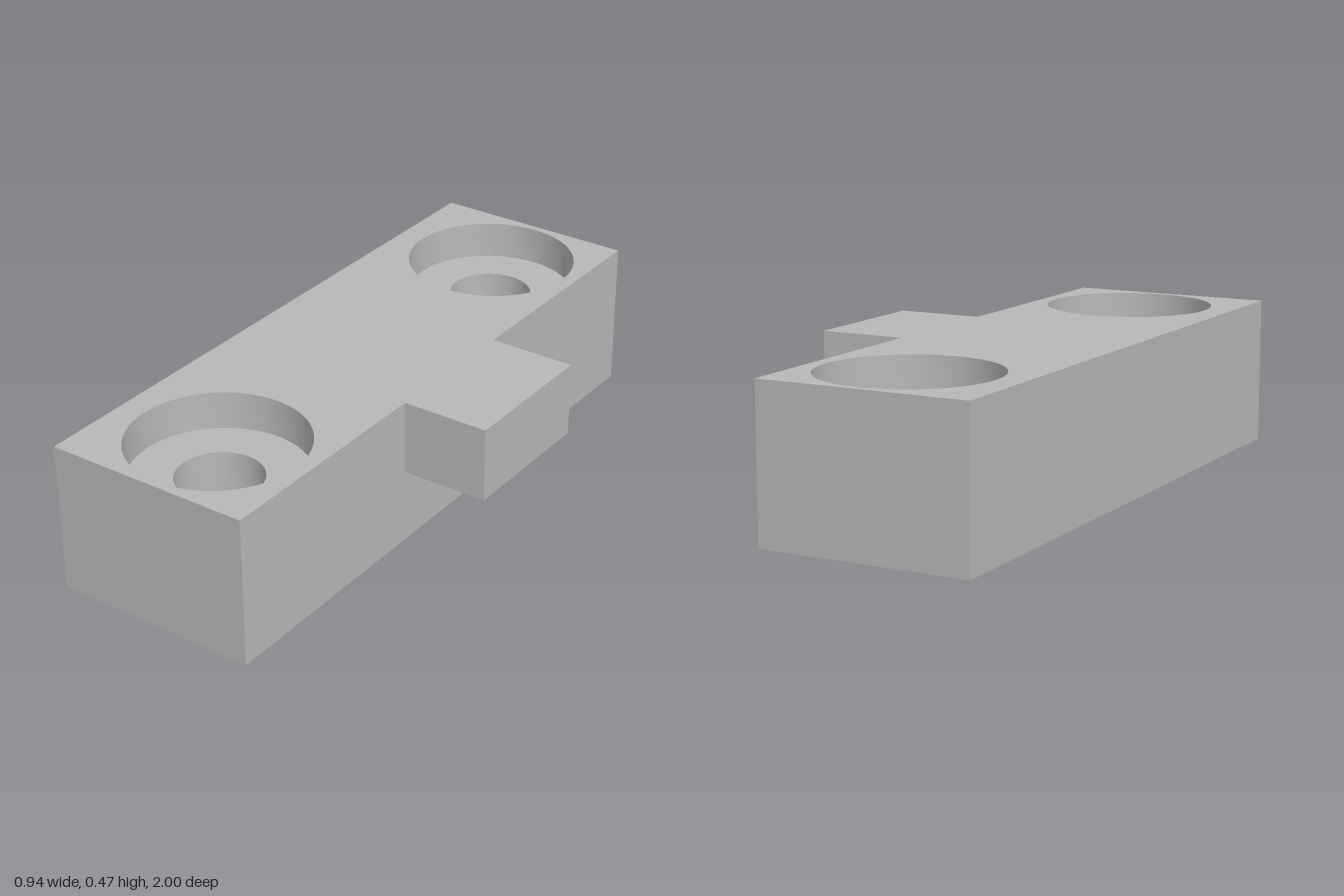
import * as THREE from 'three';
import { toCreasedNormals } from 'three/addons/utils/BufferGeometryUtils.js';

const X0 = -0.47, X1 = 0.193, X2 = 0.47;  // body left, body right, tab end
const H = 0.473, TAB_Y = 0.238, TAB_Z = 0.235;
const HOLE_X = -0.118, HOLE_Z = 0.708;
const BORE_R = 0.132, SINK_R = 0.27, SINK_DEPTH = 0.12;

const polygon = (points) => new THREE.Shape(points.map(([x, y]) => new THREE.Vector2(x, y)));
const rect = (x0, y0, x1, y1) => polygon([[x0, y0], [x1, y0], [x1, y1], [x0, y1]]);

// Cuts the pair of round screw holes out of a horizontal outline
function drill(shape, radius) {
  for (const z of [-HOLE_Z, HOLE_Z]) {
    shape.holes.push(new THREE.Path().absarc(HOLE_X, z, radius, 0, Math.PI * 2, true));
  }
  return shape;
}

export function createModel() {
  const model = new THREE.Group();
  const grey = new THREE.MeshStandardMaterial({ color: 0xb8b8b8 });
  grey.name = 'plain grey';

  const body = new THREE.Group();
  body.name = 'mountingBlock';
  const tab = new THREE.Group();
  tab.name = 'sideTab';
  model.add(body, tab);

  // Adds a flat face, drawn facing +z, then turned and moved into place
  function face(parent, name, shape, [rx, ry], [x, y, z]) {
    const mesh = new THREE.Mesh(new THREE.ShapeGeometry(shape, 32), grey);
    mesh.name = name;
    mesh.rotation.set(rx, ry, 0);
    mesh.position.set(x, y, z);
    parent.add(mesh);
  }
  const Q = Math.PI / 2;

  // Block: top runs on over the tab, so both share one face
  const topOutline = polygon([
    [X0, -1], [X1, -1], [X1, -TAB_Z], [X2, -TAB_Z],
    [X2, TAB_Z], [X1, TAB_Z], [X1, 1], [X0, 1],
  ]);
  face(body, 'top', drill(topOutline, SINK_R), [-Q, 0], [0, H, 0]);
  face(body, 'bottom', drill(rect(X0, -1, X1, 1), BORE_R), [Q, 0], [0, 0, 0]);
  face(body, 'frontWall', rect(X0, 0, X1, H), [0, 0], [0, 0, 1]);
  face(body, 'backWall', rect(-X1, 0, -X0, H), [0, Math.PI], [0, 0, -1]);
  face(body, 'plainSideWall', rect(-1, 0, 1, H), [0, -Q], [X0, 0, 0]);
  face(body, 'tabSideWall', polygon([
    [-1, 0], [1, 0], [1, H], [TAB_Z, H], [TAB_Z, TAB_Y], [-TAB_Z, TAB_Y], [-TAB_Z, H], [-1, H],
  ]), [0, Q], [X1, 0, 0]);

  // Tab on the upper half of the side
  face(tab, 'tabFront', rect(X1, TAB_Y, X2, H), [0, 0], [0, 0, TAB_Z]);
  face(tab, 'tabBack', rect(-X2, TAB_Y, -X1, H), [0, Math.PI], [0, 0, -TAB_Z]);
  face(tab, 'tabEnd', rect(-TAB_Z, TAB_Y, TAB_Z, H), [0, Q], [X2, 0, 0]);
  face(tab, 'tabUnderside', rect(X1, -TAB_Z, X2, TAB_Z), [Q, 0], [0, TAB_Y, 0]);

  // Counterbored screw holes; the profile runs downwards so walls face inwards
  const profile = [
    [SINK_R, H], [SINK_R, H - SINK_DEPTH], [BORE_R, H - SINK_DEPTH], [BORE_R, 0],
  ].map(([r, y]) => new THREE.Vector2(r, y));
  const holeGeometry = toCreasedNormals(new THREE.LatheGeometry(profile, 64), 0.6);
  for (const [name, z] of [['frontScrewHole', HOLE_Z], ['backScrewHole', -HOLE_Z]]) {
    const hole = new THREE.Mesh(holeGeometry, grey);
    hole.name = name;
    hole.position.set(HOLE_X, 0, z);
    model.add(hole);
  }
  return model;
}
